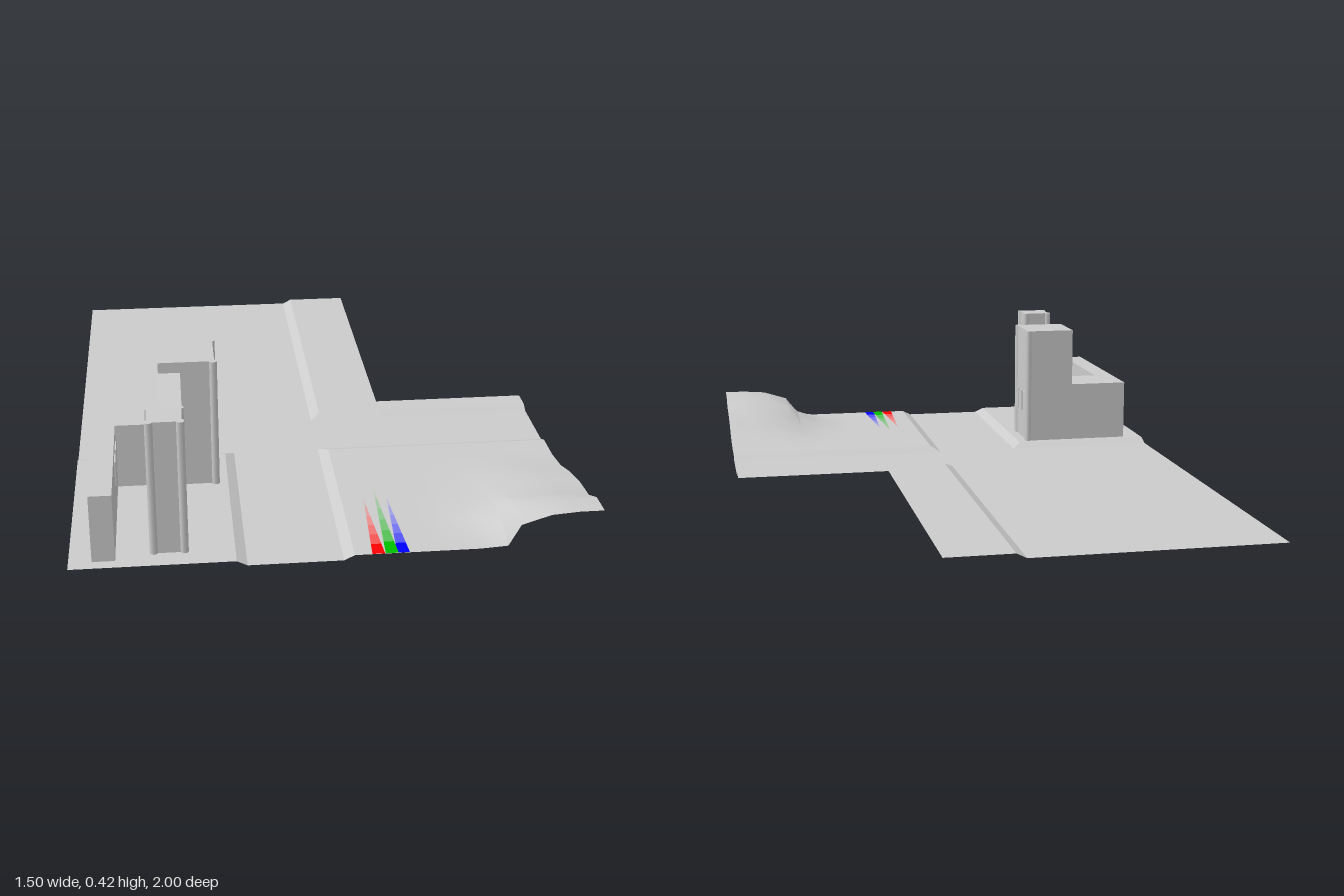
import * as THREE from 'three';
import { toCreasedNormals } from 'three/addons/utils/BufferGeometryUtils.js';

const CURB = 0.015;
const grey = new THREE.MeshStandardMaterial({ color: 0xcccccc });
const sheet = new THREE.MeshStandardMaterial({ color: 0xcccccc, side: THREE.DoubleSide });
const ramp = (v, a, b) => THREE.MathUtils.clamp((v - a) / (b - a), 0, 1);

// Hill heights in thousandths: one row per z, one column per x
const hillX = [0.3, 0.4, 0.48, 0.515, 0.6, 0.68, 0.75];
const hillZ = [0.45, 0.55, 0.65, 0.75, 0.85, 0.92, 1];
const hill = [
  [15, 15, 15, 15, 15, 15, 15],
  [15, 15, 18, 20, 28, 28, 28],
  [15, 15, 22, 32, 50, 56, 58],
  [15, 18, 36, 52, 72, 78, 78],
  [15, 24, 58, 84, 96, 96, 86],
  [15, 20, 48, 86, 112, 116, 117],
  [15, 15, 20, 85, 112, 118, 118],
];

// Height of road, kerbs, pavements and hill
function groundHeight(x, z) {
  const i = hillX.indexOf(x), j = hillZ.indexOf(z);
  if (i >= 0 && j >= 0) return hill[j][i] / 1000;
  const left = ramp(x, -0.255, -0.285), right = ramp(x, 0.015, 0.045);
  const front = ramp(z, 0.31, 0.345), back = ramp(z, 0.095, 0.07);
  return CURB * Math.max(Math.min(left, front), Math.min(right, front), Math.min(right, back));
}

function groundGeometry() {
  const xs = [-0.75, -0.285, -0.255, 0.015, 0.045, 0.25, ...hillX];
  const zs = [-1, 0, 0.07, 0.095, 0.31, 0.345, ...hillZ];
  const pos = [], index = [], n = xs.length;
  for (const z of zs) for (const x of xs) pos.push(x, groundHeight(x, z), z);
  for (let j = 0; j < zs.length - 1; j++) {
    for (let i = 0; i < n - 1; i++) {
      if (xs[i] >= 0.25 && zs[j] < 0) continue; // missing back corner
      const a = j * n + i, b = a + 1, c = a + n, d = c + 1;
      // turn the diagonal so that kerb corners mitre
      if (xs[i] === 0.015 && zs[j] === 0.07) index.push(a, c, b, b, c, d);
      else if (xs[i] === -0.285 && zs[j] === 0.31) index.push(a, c, b, b, c, d);
      else index.push(a, c, d, a, d, b);
    }
  }
  const geo = new THREE.BufferGeometry();
  geo.setAttribute('position', new THREE.Float32BufferAttribute(pos, 3));
  geo.setIndex(index);
  return toCreasedNormals(geo, 0.4);
}

export function createModel() {
  const model = new THREE.Group();
  const add = (name, geo, material = grey, parent = model) => {
    const mesh = new THREE.Mesh(geo, material);
    mesh.name = name;
    parent.add(mesh);
    return mesh;
  };
  // Box given by its limits
  const box = (name, x0, x1, y0, y1, z0, z1, parent) => add(name,
    new THREE.BoxGeometry(x1 - x0, y1 - y0, z1 - z0)
      .translate((x0 + x1) / 2, (y0 + y1) / 2, (z0 + z1) / 2), grey, parent);

  add('ground', groundGeometry(), sheet);

  const building = new THREE.Group();
  building.name = 'building';
  model.add(building);
  const column = (x, z) => add('cornerColumn',
    new THREE.CylinderGeometry(0.012, 0.012, 0.42 - CURB, 10)
      .translate(x, (0.42 + CURB) / 2, z), grey, building);

  // Low L-shaped wing
  box('longWing', -0.685, -0.62, CURB, 0.22, 0.365, 0.965, building);
  box('crossWing', -0.62, -0.485, CURB, 0.22, 0.365, 0.53, building);

  // Main tower with columns on its outer corners
  box('mainTower', -0.485, -0.318, CURB, 0.42, 0.365, 0.535, building);
  for (const z of [0.372, 0.533]) column(-0.322, z);

  // Small tower with a column on each corner
  box('smallTower', -0.518, -0.422, CURB, 0.42, 0.84, 0.935, building);
  for (const x of [-0.513, -0.427]) for (const z of [0.845, 0.931]) column(x, z);

  // Sloping bridge between the towers, drawn in z and y
  const side = new THREE.Shape([[0.53, 0.293], [0.845, 0.22], [0.845, 0.315], [0.53, 0.388]]
    .map(([z, y]) => new THREE.Vector2(-z, y)).reverse());
  add('bridge', new THREE.ExtrudeGeometry(side, { depth: 0.065, bevelEnabled: false })
    .rotateY(Math.PI / 2).translate(-0.485, 0, 0), grey, building);

  // Shallow windows on the wing's inner wall and the tower's outer wall
  const windows = [
    [-0.62, 0.573, 0.632], [-0.62, 0.65, 0.71],
    [-0.318, 0.39, 0.43], [-0.318, 0.442, 0.48], [-0.318, 0.493, 0.52],
  ];
  for (const [x, z0, z1] of windows) {
    box('window', x - 0.002, x + 0.004, 0.115, 0.19, z0, z1, building);
  }

  // Painted stripes that taper and fade towards the crossing
  const stripes = [['redStripe', 0.112, 0.68, 0xff0000], ['greenStripe', 0.15, 0.62, 0x00c000],
    ['blueStripe', 0.182, 0.68, 0x0000ff]];
  for (const [name, x, tip, hex] of stripes) {
    const steps = 6;
    for (let k = 0; k < steps; k++) {
      const t0 = k / steps, t1 = (k + 1) / steps;
      const w0 = 0.018 * (1 - t0), w1 = 0.018 * (1 - t1);
      const z0 = THREE.MathUtils.lerp(1, tip, t0), z1 = THREE.MathUtils.lerp(1, tip, t1);
      const piece = new THREE.Shape([[x - w0, -z0], [x + w0, -z0], [x + w1, -z1], [x - w1, -z1]]
        .map(([px, py]) => new THREE.Vector2(px, py)));
      const color = new THREE.Color(hex).lerp(new THREE.Color(0xcccccc), t0 * 0.9);
      add(name, new THREE.ShapeGeometry(piece).rotateX(-Math.PI / 2).translate(0, CURB + 0.001, 0),
        new THREE.MeshStandardMaterial({ color }));
    }
  }
  return model;
}
